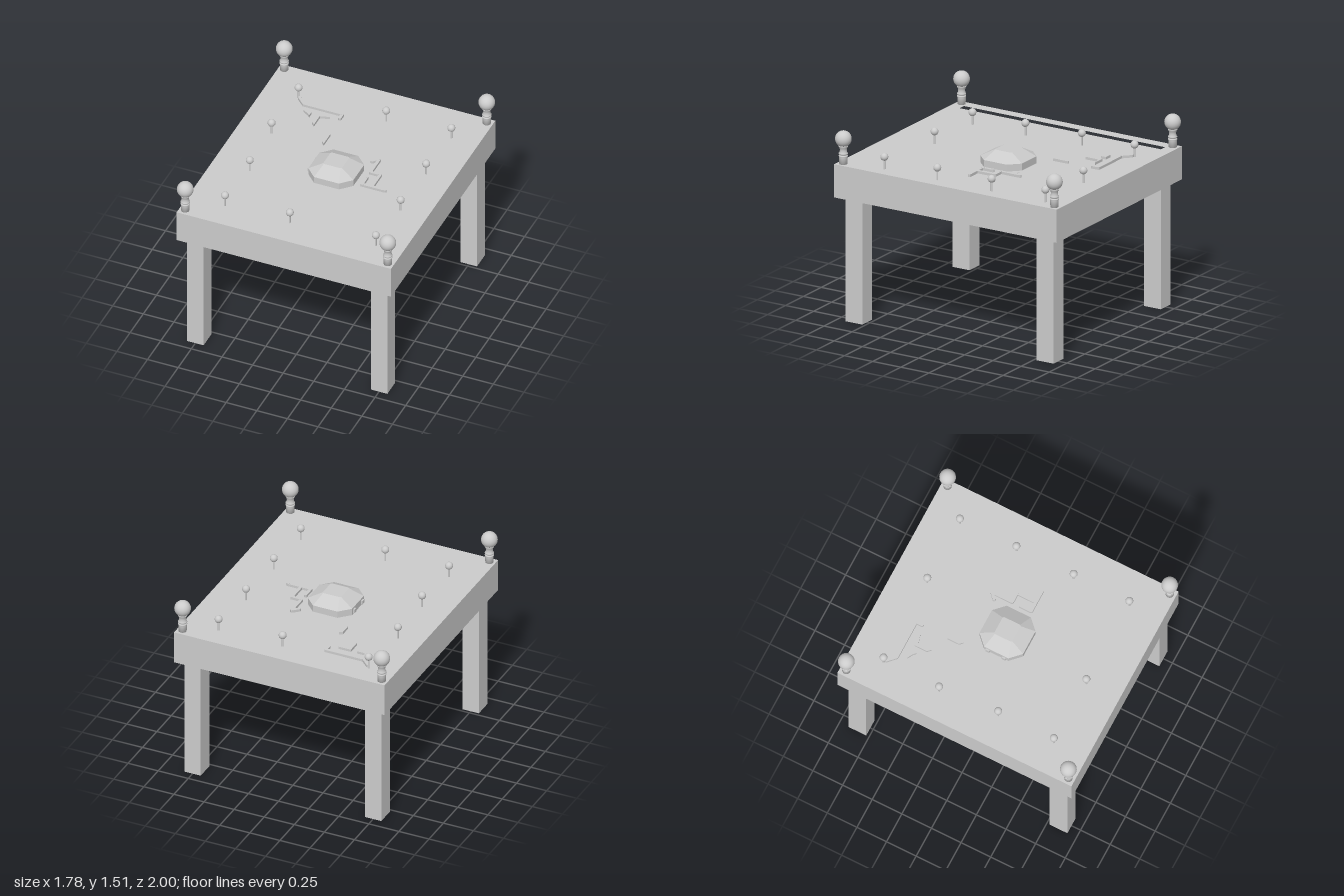
import * as THREE from 'three';

const FLOOR = 1.19, RIM = 1.248, UNDER = 0.985;
const smooth = new THREE.MeshStandardMaterial({ color: 0xcccccc });
const flat = new THREE.MeshStandardMaterial({ color: 0xcccccc, flatShading: true });

function add(parent, name, geometry, x = 0, y = 0, z = 0, material = smooth) {
  const mesh = new THREE.Mesh(geometry, material);
  mesh.name = name;
  mesh.position.set(x, y, z);
  parent.add(mesh);
  return mesh;
}

// Flat plate with an outline in (x, z), resting at height y
function plate(points, height, holes = []) {
  const toShape = (pts) => pts.map(([x, z]) => new THREE.Vector2(x, -z));
  const shape = new THREE.Shape(toShape(points));
  holes.forEach((h) => shape.holes.push(new THREE.Path(toShape(h))));
  return new THREE.ExtrudeGeometry(shape, { depth: height, bevelEnabled: false }).rotateX(-Math.PI / 2);
}

const rect = (x, z) => [[-x, -z], [x, -z], [x, z], [-x, z]];

// Square outline with cut corners
const octagon = (h, c) => [
  [h, -h + c], [h, h - c], [h - c, h], [-h + c, h],
  [-h, h - c], [-h, -h + c], [-h + c, -h], [h - c, -h],
];

// Faceted solid lofted through octagonal rings
function loftGem(levels) {
  const pos = [], index = [];
  levels.forEach(([y, h, c]) => octagon(h, c).forEach(([x, z]) => pos.push(x, y, z)));
  for (let k = 0; k < levels.length - 1; k++) {
    for (let i = 0; i < 8; i++) {
      const a = k * 8 + i, b = k * 8 + (i + 1) % 8;
      index.push(a, a + 8, b, b, a + 8, b + 8);
    }
  }
  const top = (levels.length - 1) * 8;
  for (let i = 1; i < 7; i++) {
    index.push(top, top + i + 1, top + i);
    index.push(0, i, i + 1);
  }
  const g = new THREE.BufferGeometry();
  g.setAttribute('position', new THREE.Float32BufferAttribute(pos, 3));
  g.setIndex(index);
  g.computeVertexNormals();
  return g;
}

// Raised rail: straight bars with round joints
function addRail(parent, name, points) {
  const rail = new THREE.Group();
  rail.name = name;
  const w = 0.024, h = 0.02, y = FLOOR + h / 2;
  points.forEach(([x, z], i) => {
    add(rail, 'railJoint', new THREE.CylinderGeometry(w / 2, w / 2, h + 0.002, 16), x, y, z);
    if (i === 0) return;
    const [px, pz] = points[i - 1];
    const bar = add(rail, 'railBar', new THREE.BoxGeometry(Math.hypot(x - px, z - pz), h, w),
      (x + px) / 2, y, (z + pz) / 2);
    bar.rotation.y = -Math.atan2(z - pz, x - px);
  });
  parent.add(rail);
}

export function createModel() {
  const model = new THREE.Group();
  model.name = 'gameTable';

  // Tray: solid base with a raised rim
  add(model, 'tableBase', new THREE.BoxGeometry(1.75, FLOOR - UNDER, 1.975), 0, (FLOOR + UNDER) / 2, 0);
  add(model, 'tableRim', plate(rect(0.875, 0.9875), RIM - FLOOR, [rect(0.79, 0.893)]), 0, FLOOR, 0);

  // Corner legs and turned finials
  const profile = [
    [0, 0], [0.031, 0], [0.032, 0.055], [0.035, 0.06], [0.035, 0.066], [0.029, 0.07],
    [0.029, 0.075], [0.035, 0.079], [0.035, 0.085], [0.029, 0.09], [0.026, 0.11],
    [0.029, 0.125], [0.036, 0.137], [0.036, 0.145], [0, 0.15],
  ].map(([r, y]) => new THREE.Vector2(r, y));
  for (const sx of [-1, 1]) {
    for (const sz of [-1, 1]) {
      add(model, 'leg', new THREE.BoxGeometry(0.135, UNDER, 0.15), sx * 0.75, UNDER / 2, sz * 0.849);
      const finial = new THREE.Group();
      finial.name = 'finial';
      finial.position.set(sx * 0.827, RIM, sz * 0.937);
      add(finial, 'finialStem', new THREE.LatheGeometry(profile, 32));
      add(finial, 'finialBall', new THREE.SphereGeometry(0.063, 32, 20), 0, 0.198, 0);
      model.add(finial);
    }
  }

  // Ball-headed pins on the tray floor
  const pins = [
    [-0.62, -0.73], [0.095, -0.73], [0.627, -0.73], [-0.635, -0.253], [0.627, -0.253],
    [-0.605, 0.23], [0.627, 0.23], [-0.605, 0.70], [-0.075, 0.70], [0.627, 0.70],
  ];
  for (const [x, z] of pins) {
    const pin = new THREE.Group();
    pin.name = 'pin';
    pin.position.set(x, FLOOR, z);
    add(pin, 'pinStem', new THREE.CylinderGeometry(0.007, 0.007, 0.09, 12), 0, 0.045, 0);
    add(pin, 'pinBall', new THREE.SphereGeometry(0.03, 24, 16), 0, 0.098, 0);
    model.add(pin);
  }

  // Faceted centrepiece with two small side tabs
  add(model, 'centrepiece', loftGem([[FLOOR, 0.184, 0.082], [1.245, 0.184, 0.082], [1.303, 0.076, 0.008]]),
    0, 0, -0.004, flat);
  for (const z of [-0.074, 0.064]) {
    add(model, 'sideTab', new THREE.BoxGeometry(0.02, 0.03, 0.03), -0.187, FLOOR + 0.025, z);
  }

  // Rails
  addRail(model, 'cornerRail', [[-0.605, -0.715], [-0.545, -0.657], [-0.23, -0.657], [-0.23, -0.605]]);
  addRail(model, 'steppedRail', [[0.2, -0.22], [0.243, -0.26], [0.243, -0.09], [0.323, -0.09], [0.323, 0.07], [0.43, 0.07]]);
  addRail(model, 'hookRail', [[0.243, -0.02], [0.243, 0.07], [0.323, 0.07]]);

  // Small angled deflectors
  const deflectors = [
    [[-0.515, -0.583], [-0.452, -0.583], [-0.452, -0.54], [-0.475, -0.56]],
    [[-0.402, -0.583], [-0.375, -0.583], [-0.375, -0.45], [-0.402, -0.477]],
    [[-0.375, -0.583], [-0.3, -0.583], [-0.375, -0.562]],
    [[-0.24, -0.385], [-0.215, -0.397], [-0.215, -0.265], [-0.24, -0.29]],
  ];
  deflectors.forEach((d) => add(model, 'deflector', plate(d, 0.02), 0, FLOOR, 0));

  return model;
}
